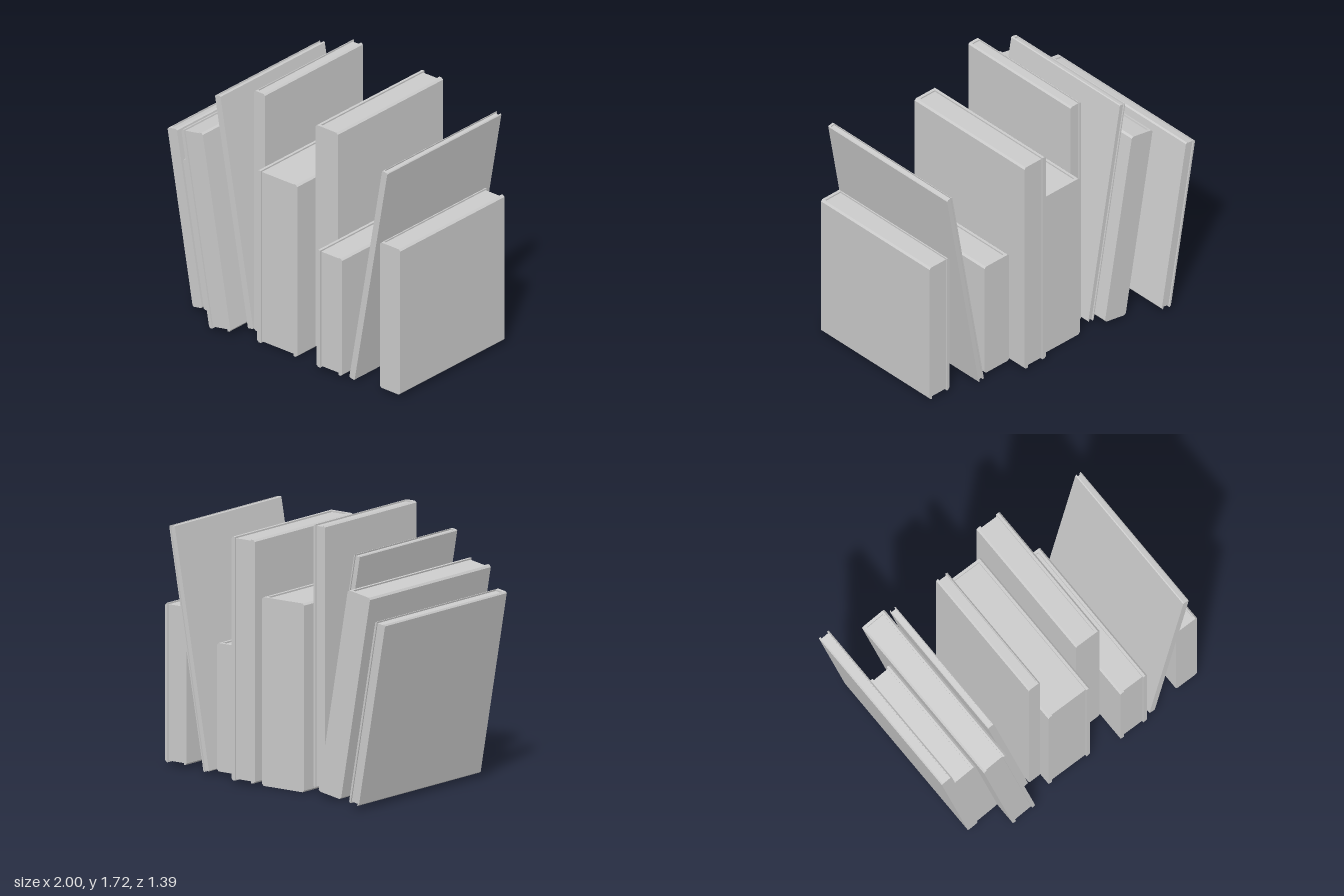
import * as THREE from 'three';

const material = new THREE.MeshStandardMaterial({ color: 0xcccccc, flatShading: true });

// Extrude an outline in the xy plane from z0 to z1
function prism(name, points, z0, z1) {
  const shape = new THREE.Shape(points.map(([x, y]) => new THREE.Vector2(x, y)));
  const geometry = new THREE.ExtrudeGeometry(shape, { depth: z1 - z0, bevelEnabled: false });
  geometry.translate(0, 0, z0);
  const mesh = new THREE.Mesh(geometry, material);
  mesh.name = name;
  return mesh;
}

// A hardback: two boards with bevelled outer edges, a spine and a recessed page block.
// (x, y) is the lower left corner; lean is in degrees, positive towards -x.
function createBook({ x, y, w, h, back, front, board, spine, lean = 0, spineFront = true }) {
  const book = new THREE.Group();
  book.name = 'book';
  const bevel = Math.min(0.012, board * 0.7);
  const inset = 0.01;

  const leftBoard = [[bevel, 0], [board, 0], [board, h], [bevel, h], [0, h - bevel], [0, bevel]];
  const rightBoard = leftBoard.map(([px, py]) => [w - px, py]).reverse();
  const spineOutline = [
    [bevel, 0], [w - bevel, 0], [w, bevel], [w, h - bevel],
    [w - bevel, h], [bevel, h], [0, h - bevel], [0, bevel],
  ];

  // Boards and pages meet the spine at its inner face
  const z0 = spineFront ? back : back + spine;
  const z1 = spineFront ? front - spine : front;
  book.add(prism('leftBoard', leftBoard, z0, z1));
  book.add(prism('rightBoard', rightBoard, z0, z1));
  book.add(spineFront
    ? prism('spine', spineOutline, z1, front)
    : prism('spine', spineOutline, back, z0));

  const p0 = spineFront ? z0 + inset : z0;
  const p1 = spineFront ? z1 : z1 - inset;
  const pages = new THREE.Mesh(
    new THREE.BoxGeometry(w - 2 * board, h - 2 * inset, p1 - p0), material);
  pages.position.set(w / 2, h / 2, (p0 + p1) / 2);
  pages.name = 'pages';
  book.add(pages);

  book.position.set(x, y, 0);
  book.rotation.z = THREE.MathUtils.degToRad(lean);
  return book;
}

export function createModel() {
  const model = new THREE.Group();
  model.name = 'bookRow';
  const books = [
    // Four books leaning left
    { x: -0.79, y: 0.025, w: 0.08, h: 1.218, back: -0.70, front: 0.555, board: 0.013, spine: 0.03, lean: 10 },
    { x: -0.71, y: 0.023, w: 0.17, h: 1.025, back: -0.33, front: 0.54, board: 0.027, spine: 0.02, lean: 10 },
    { x: -0.535, y: 0.01, w: 0.182, h: 1.352, back: -0.555, front: 0.69, board: 0.025, spine: 0.02, lean: 10, spineFront: false },
    { x: -0.342, y: 0.016, w: 0.047, h: 1.585, back: -0.465, front: 0.54, board: 0.008, spine: 0.02, lean: 10 },
    // Upright books in the middle
    { x: -0.29, y: 0.02, w: 0.09, h: 1.70, back: -0.405, front: 0.54, board: 0.015, spine: 0.02 },
    { x: -0.195, y: 0, w: 0.335, h: 1.22, back: -0.495, front: 0.62, board: 0.03, spine: 0.02, spineFront: false },
    { x: 0.153, y: 0.02, w: 0.187, h: 1.575, back: -0.555, front: 0.46, board: 0.03, spine: 0.02 },
    { x: 0.345, y: 0.025, w: 0.213, h: 0.83, back: -0.42, front: 0.67, board: 0.03, spine: 0.02, spineFront: false },
    // Thin book leaning right, then the upright end book
    { x: 0.596, y: 0.023, w: 0.045, h: 1.58, back: -0.455, front: 0.645, board: 0.008, spine: 0.015, lean: -10 },
    { x: 0.83, y: 0.02, w: 0.17, h: 1.03, back: -0.385, front: 0.62, board: 0.02, spine: 0.02 },
  ];
  books.forEach((spec) => model.add(createBook(spec)));
  return model;
}
